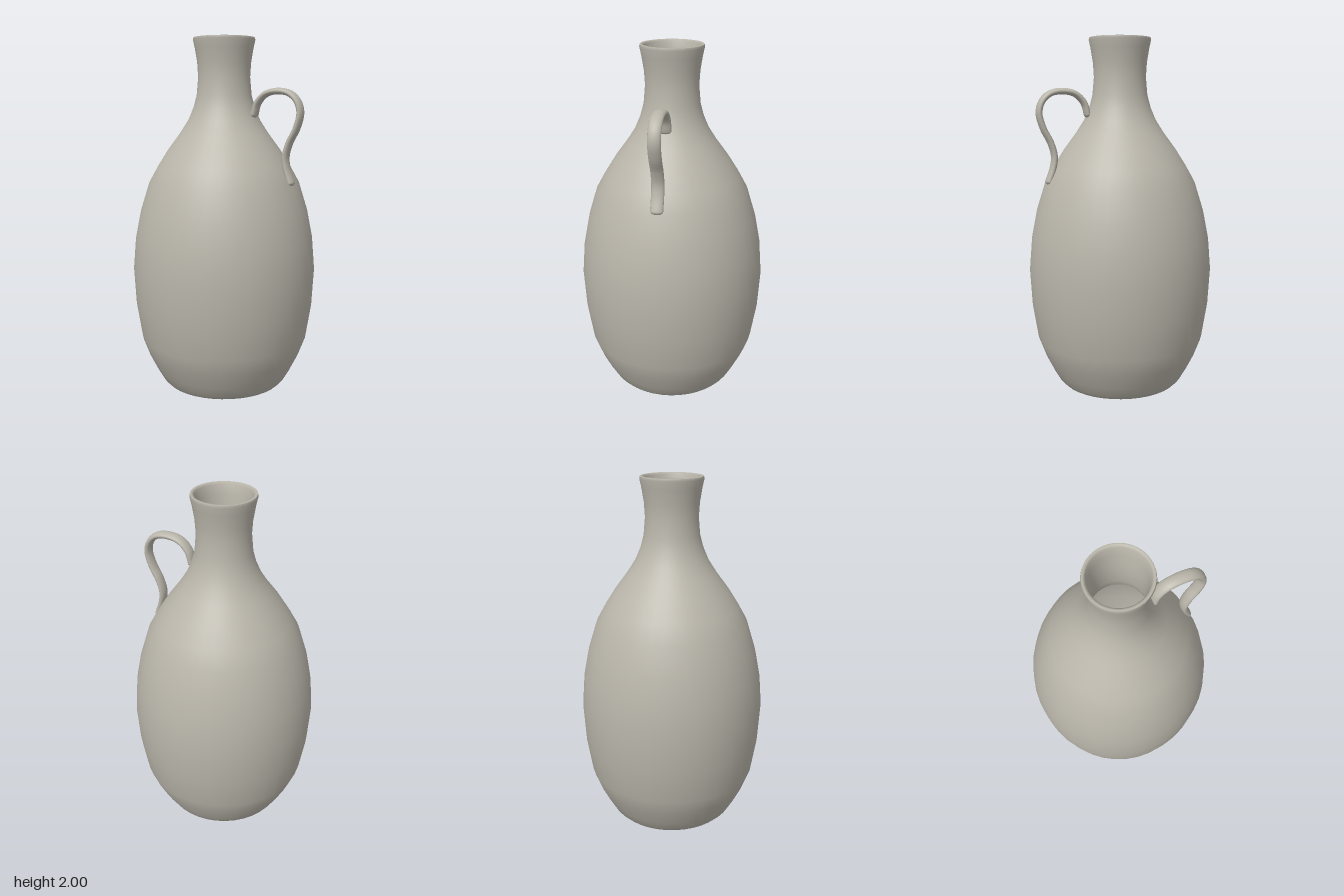
import * as THREE from 'three';

const clay = new THREE.MeshStandardMaterial({ color: 0xb9b5aa });
clay.name = 'grey clay';

function named(geometry, name) {
  const mesh = new THREE.Mesh(geometry, clay);
  mesh.name = name;
  return mesh;
}

function lathe(points, name) {
  const geometry = new THREE.LatheGeometry(points.map(([r, y]) => new THREE.Vector2(r, y)), 40);
  return named(geometry, name);
}

export function createModel() {
  const model = new THREE.Group();
  model.name = 'jug';

  // Outer wall: foot, belly, shoulder, neck and flared lip
  const outer = [
    [0.285, 0.03], [0.295, 0.01], [0.315, 0], [0.34, 0.005], [0.365, 0.03], [0.4, 0.09],
    [0.445, 0.18], [0.483, 0.28], [0.515, 0.48], [0.527, 0.69], [0.512, 0.87], [0.48, 1.03],
    [0.43, 1.19], [0.38, 1.28], [0.32, 1.375], [0.25, 1.47], [0.205, 1.54], [0.175, 1.61],
    [0.156, 1.68], [0.147, 1.78], [0.152, 1.86], [0.165, 1.94], [0.175, 1.985], [0.172, 1.998],
  ];
  model.add(lathe(outer, 'body'));

  // Lip and hollow inside, running down to the floor
  const inner = [
    [0.172, 1.998], [0.162, 2], [0.152, 1.99], [0.143, 1.94], [0.132, 1.86], [0.128, 1.78],
    [0.133, 1.68], [0.152, 1.6], [0.225, 1.46], [0.355, 1.27], [0.455, 1.02], [0.5, 0.69],
    [0.455, 0.28], [0.37, 0.09], [0.32, 0.05],
  ];
  model.add(lathe(inner, 'innerWall'));
  model.add(lathe([[0.32, 0.05], [0, 0.05]], 'innerFloor'));

  // Recessed underside within the foot ring
  model.add(lathe([[0, 0.03], [0.285, 0.03]], 'underside'));

  // Strap handle: a planar tube widened across z, with rounded ends
  const path = [
    [0.195, 1.575], [0.212, 1.635], [0.26, 1.685], [0.33, 1.702], [0.405, 1.69], [0.452, 1.648],
    [0.47, 1.585], [0.448, 1.5], [0.407, 1.42], [0.387, 1.345], [0.395, 1.28], [0.422, 1.205],
  ].map(([x, y]) => new THREE.Vector3(x, y, 0));
  const curve = new THREE.CatmullRomCurve3(path);
  const handle = new THREE.Group();
  handle.name = 'handle';
  handle.add(named(new THREE.TubeGeometry(curve, 40, 0.018, 16, false).scale(1, 1, 1.95), 'strap'));
  for (const end of [path[0], path[path.length - 1]]) {
    const cap = named(new THREE.SphereGeometry(0.018, 16, 10).scale(1, 1, 1.95), 'strapEnd');
    cap.position.copy(end);
    handle.add(cap);
  }
  model.add(handle);

  return model;
}
